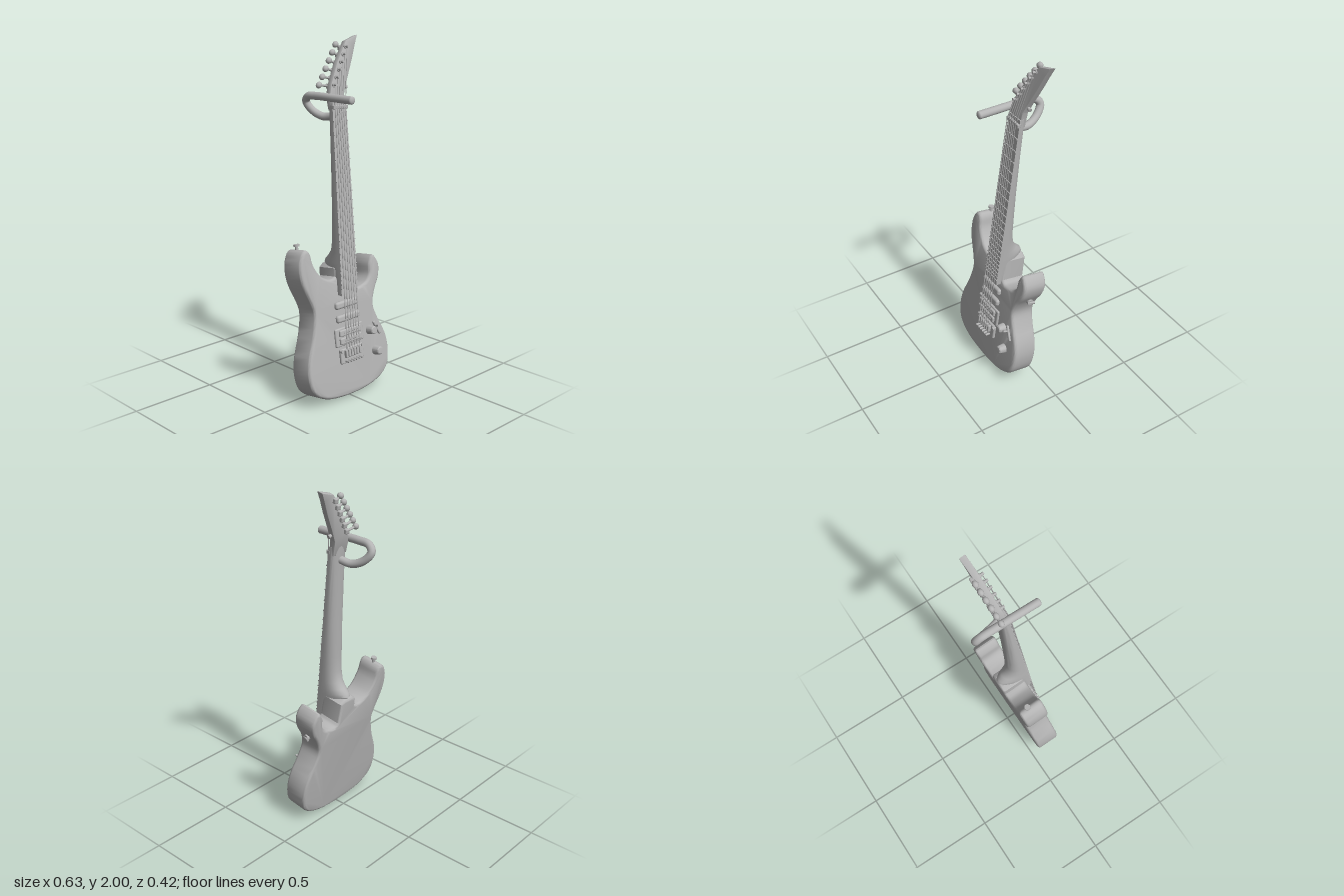
import * as THREE from 'three';
import { toCreasedNormals } from 'three/addons/utils/BufferGeometryUtils.js';
import { RoundedBoxGeometry } from 'three/addons/geometries/RoundedBoxGeometry.js';

const V = (x, y, z) => new THREE.Vector3(x, y, z);
const lerp = THREE.MathUtils.lerp;

export function createModel() {
  const model = new THREE.Group();
  model.name = 'electricGuitar';
  const grey = new THREE.MeshStandardMaterial({ color: 0xb4b4b4 });
  grey.name = 'plainGrey';

  const add = (parent, name, geo, x = 0, y = 0, z = 0) => {
    const m = new THREE.Mesh(geo, grey);
    m.name = name;
    m.position.set(x, y, z);
    parent.add(m);
    return m;
  };
  // Round rod between two points
  const rod = (parent, name, a, b, r0, r1 = r0, sides = 12) => {
    const d = b.clone().sub(a);
    const m = add(parent, name, new THREE.CylinderGeometry(r1, r0, d.length(), sides));
    m.position.copy(a).addScaledVector(d, 0.5);
    m.quaternion.setFromUnitVectors(V(0, 1, 0), d.normalize());
    return m;
  };
  const extrude = (shape, depth, bevel, steps) => {
    const g = new THREE.ExtrudeGeometry(shape, {
      depth: depth - 2 * bevel, bevelThickness: bevel, bevelSize: bevel,
      bevelOffset: -bevel, bevelSegments: 4, curveSegments: steps,
    });
    g.translate(0, 0, bevel);
    return toCreasedNormals(g, 0.6);
  };

  // ---- Body, leaning back; its own z runs from back (0) to face (0.145)
  const body = new THREE.Group();
  body.name = 'bodyGroup';
  body.position.z = 0.053;
  body.rotation.x = -0.15;
  model.add(body);
  const FACE = 0.145;
  const outline = [
    [0.085, 0.625], [0.11, 0.607], [0.178, 0.62], [0.215, 0.66], [0.225, 0.725], [0.26, 0.768],
    [0.3, 0.71], [0.29, 0.635], [0.245, 0.555], [0.225, 0.48], [0.25, 0.4], [0.3, 0.29],
    [0.312, 0.185], [0.28, 0.085], [0.17, 0.027], [0, 0.01], [-0.18, 0.027], [-0.285, 0.085],
    [-0.317, 0.175], [-0.305, 0.28], [-0.255, 0.41], [-0.23, 0.52], [-0.245, 0.59], [-0.292, 0.705],
    [-0.3, 0.8], [-0.275, 0.87], [-0.24, 0.89], [-0.215, 0.865], [-0.2, 0.8], [-0.155, 0.73],
    [-0.09, 0.695], [-0.047, 0.702],
  ].map(([x, y]) => new THREE.Vector2(x, (y - 0.01) * 0.995));
  const bodyShape = new THREE.Shape();
  bodyShape.moveTo(outline[0].x, outline[0].y);
  bodyShape.splineThru(outline.slice(1));
  // heel tongue under the neck
  [[-0.045, 0.735], [-0.015, 0.755], [0.05, 0.755], [0.08, 0.735]].forEach(([x, y]) => bodyShape.lineTo(x, y));
  add(body, 'body', extrude(bodyShape, FACE, 0.018, 4));

  // Items on the body face, given by height above the floor
  const up = (y) => (y - 0.022) / 0.989;
  const block = (name, x, y, w, h, d, r = 0.008) =>
    add(body, name, new RoundedBoxGeometry(w, h, d + 0.01, 3, r), x, up(y), FACE + d / 2 - 0.005);
  [0.467, 0.543].forEach((y) => block('singleCoilPickup', 0.003, y, 0.175, 0.042, 0.02, 0.014));
  block('humbuckerFrame', 0.0, 0.365, 0.215, 0.105, 0.012);
  [0.343, 0.388].forEach((y) => block('humbuckerCoil', 0.0, y, 0.165, 0.038, 0.024));
  block('bridgePlate', 0.005, 0.255, 0.18, 0.085, 0.014);
  for (let i = 0; i < 6; i++) {
    const x = -0.05 + i * 0.021;
    block('bridgeSaddle', x, 0.268, 0.016, 0.045, 0.032, 0.005);
    rod(body, 'fineTuner', V(x, up(0.228), FACE), V(x, up(0.224), FACE + 0.042), 0.007);
    for (const y of [0.343, 0.388]) {
      rod(body, 'poleScrew', V(x, up(y), FACE), V(x, up(y), FACE + 0.028), 0.005);
    }
  }
  // Bridge side posts
  for (const x of [-0.075, 0.085]) rod(body, 'bridgePost', V(x, up(0.285), FACE), V(x, up(0.285), FACE + 0.022), 0.01);
  // Control knobs
  for (const [x, y] of [[0.167, 0.35], [0.2, 0.222]]) {
    const profile = [[0, 0], [0.028, 0], [0.027, 0.012], [0.023, 0.04], [0.018, 0.045], [0, 0.046]];
    const geo = new THREE.LatheGeometry(profile.map((p) => new THREE.Vector2(...p)), 20);
    const knob = add(body, 'controlKnob', toCreasedNormals(geo, 0.6), x, up(y), FACE - 0.001);
    knob.rotation.x = Math.PI / 2;
  }
  // Selector switch
  const slot = add(body, 'switchPlate', new RoundedBoxGeometry(0.018, 0.095, 0.016, 3, 0.007), 0.224, up(0.35), FACE + 0.003);
  slot.rotation.z = 0.5;
  rod(body, 'switchLever', V(0.218, up(0.36), FACE), V(0.212, up(0.365), FACE + 0.035), 0.005, 0.007);
  // Output jack and strap button
  rod(body, 'outputJack', V(0.23, 0.57, 0.068), V(0.277, 0.565, 0.068), 0.018);
  rod(body, 'outputJackTip', V(0.27, 0.565, 0.085), V(0.282, 0.565, 0.045), 0.008);
  rod(body, 'strapButtonStem', V(-0.238, 0.86, 0.06), V(-0.238, 0.897, 0.06), 0.009);
  rod(body, 'strapButton', V(-0.238, 0.893, 0.06), V(-0.238, 0.905, 0.06), 0.017);

  // ---- Neck: flat front, rounded back, flaring into the heel
  const neckX = (y) => 0.018 + 0.041 * (y - 0.7);
  const neckHalf = (y) => 0.0625 - 0.0105 * (y - 0.7);
  const neckFront = (y) => 0.135 - 0.126 * (y - 0.65);
  const stations = [
    [0.6, 0.08], [0.7, 0], [0.755, -0.055], [0.775, -0.048], [0.8, -0.022], [0.835, 0.002],
    [0.9, 0.012], [1.0, 0.008], [1.2, -0.001], [1.45, -0.018], [1.6, -0.03], [1.66, -0.034],
  ];
  const N = 16;
  const rings = stations.map(([y, back]) => {
    const f = neckFront(y), side = f - 0.018, ring = [];
    for (let k = 0; k <= N; k++) {
      const t = (Math.PI * k) / N;
      ring.push(V(neckX(y) + neckHalf(y) * Math.cos(t), y, lerp(side, back, Math.pow(Math.sin(t), 0.8))));
    }
    ring.push(V(neckX(y) - neckHalf(y), y, f), V(neckX(y) + neckHalf(y), y, f));
    return ring;
  });
  const M = N + 3, index = [];
  for (let j = 0; j < rings.length - 1; j++) {
    for (let k = 0; k < M; k++) {
      const a = j * M + k, b = j * M + ((k + 1) % M);
      index.push(a, b, b + M, a, b + M, a + M);
    }
  }
  const last = (rings.length - 1) * M;
  for (let k = 1; k < M - 1; k++) index.push(0, k + 1, k, last, last + k, last + k + 1);
  const neckGeo = new THREE.BufferGeometry().setFromPoints(rings.flat());
  neckGeo.setIndex(index);
  add(model, 'neck', toCreasedNormals(neckGeo, 0.7));

  // Frets follow equal-temperament spacing
  const NUT = 1.63;
  for (let n = 1; n <= 22; n++) {
    const y = NUT - 1.38 * (1 - Math.pow(2, -n / 12));
    const fret = add(model, 'fret', new THREE.BoxGeometry(neckHalf(y) * 2, 0.007, 0.01), neckX(y), y, neckFront(y));
    fret.rotation.set(-0.126, 0, -0.04);
  }
  const nut = add(model, 'nut', new RoundedBoxGeometry(0.108, 0.022, 0.024, 2, 0.004), neckX(NUT), NUT, neckFront(NUT));
  nut.rotation.z = -0.04;

  // ---- Headstock, raked back
  const head = new THREE.Group();
  head.name = 'headstockGroup';
  head.position.set(0, 1.62, -0.027);
  head.rotation.x = -0.18;
  model.add(head);
  const headShape = new THREE.Shape([
    [0.006, -0.01], [0.105, -0.01], [0.11, 0.075], [0.145, 0.146], [0.2, 0.252], [0.235, 0.328],
    [0.263, 0.383], [0.172, 0.355], [0.087, 0.242], [0.024, 0.13], [0, 0.066],
  ].map(([x, y]) => new THREE.Vector2(x, y)));
  add(head, 'headstock', extrude(headShape, 0.035, 0.004, 1));
  rod(head, 'headButton', V(0.12, 0.115, 0.018), V(0.147, 0.106, 0.018), 0.008, 0.011);

  // ---- Strings, posts and tuners
  head.updateMatrixWorld(true);
  for (let i = 0; i < 6; i++) {
    const px = 0.037 + 0.0245 * i, py = 0.122 + 0.04 * i;
    rod(head, 'tuningPost', V(px, py, 0.03), V(px, py, 0.058), 0.007);
    rod(head, 'postCollar', V(px, py, 0.03), V(px, py, 0.041), 0.012);
    const knobAt = V(-0.033 + 0.032 * i, 0.132 + 0.042 * i, -0.006);
    rod(head, 'tunerShaft', V(px, py, -0.006), knobAt, 0.007);
    add(head, 'tunerHousing', new RoundedBoxGeometry(0.028, 0.028, 0.022, 2, 0.006), px, py, -0.006);
    const button = add(head, 'tunerButton', new THREE.SphereGeometry(0.02, 14, 10));
    button.position.copy(knobAt);
    button.scale.set(1, 0.85, 0.8);
    button.rotation.z = 0.6;

    const s = i / 5, r = 0.0032 - 0.0002 * i;
    const low = V(lerp(-0.05, 0.05, s), 0.25, 0.19);
    const top = V(lerp(0.012, 0.09, s), NUT, 0.024);
    rod(model, 'string', low, top, r, r, 6);
    rod(model, 'stringEnd', top, head.localToWorld(V(px, py, 0.048)), r, r, 6);
  }

  // ---- Wall hanger: a peg beside the headstock that loops round behind the neck
  const hook = new THREE.CatmullRomCurve3([
    V(-0.014, 1.685, 0.175), V(-0.014, 1.685, 0.05), V(-0.014, 1.685, -0.1), V(-0.013, 1.678, -0.165),
    V(-0.005, 1.645, -0.19), V(0.015, 1.595, -0.155), V(0.035, 1.568, -0.09), V(0.05, 1.58, -0.015),
  ]);
  add(model, 'hangerHook', new THREE.TubeGeometry(hook, 60, 0.022, 14));
  const tip = add(model, 'hangerTip', new THREE.SphereGeometry(0.022, 14, 10), -0.014, 1.685, 0.175);
  tip.scale.z = 0.5;

  return model;
}
